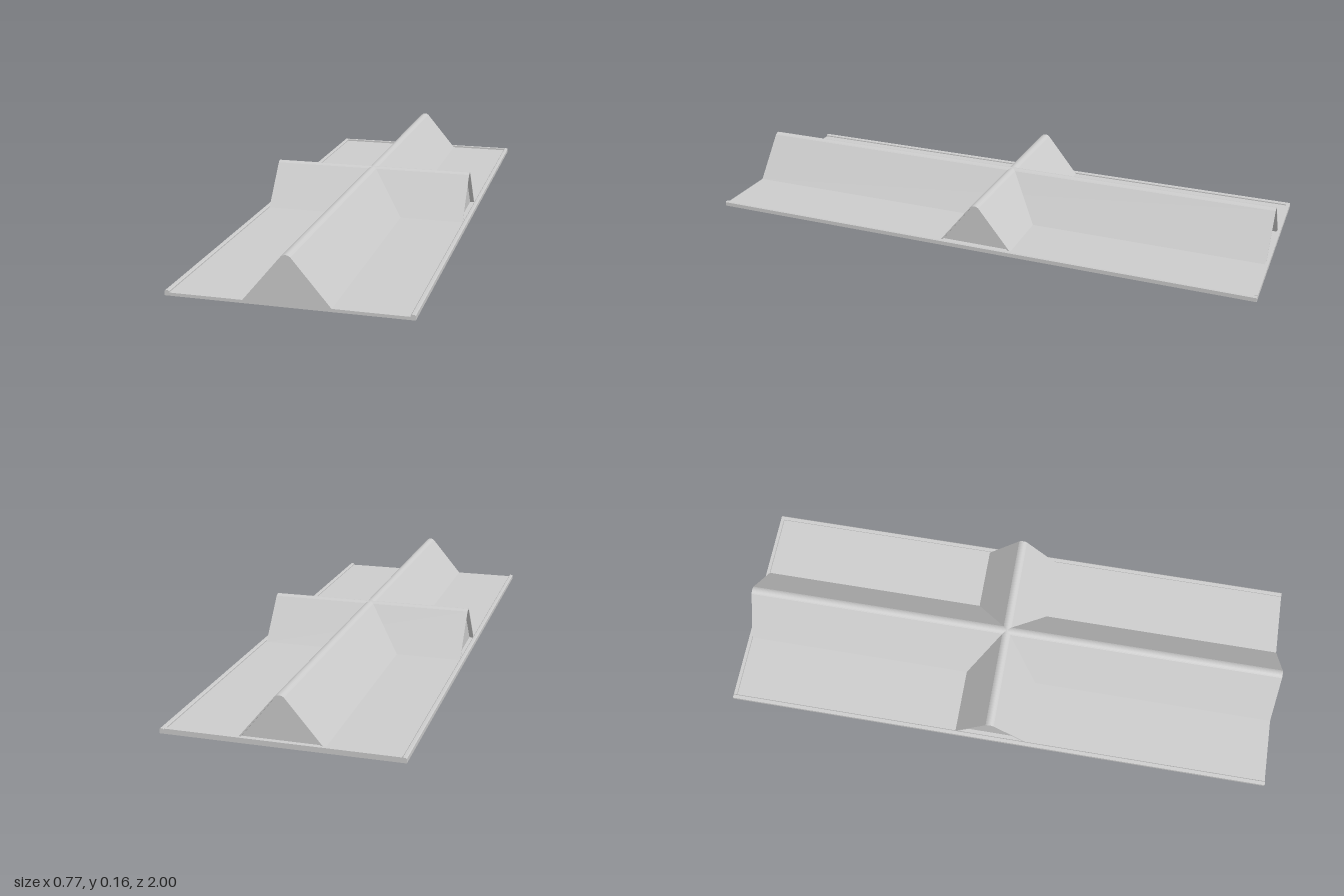
import * as THREE from 'three';

const material = new THREE.MeshStandardMaterial({ color: 0xcccccc, flatShading: true });
const FLOOR = 0.01, PEAK = 0.162;

function box(name, x0, x1, y0, y1, z0, z1) {
  const mesh = new THREE.Mesh(new THREE.BoxGeometry(x1 - x0, y1 - y0, z1 - z0), material);
  mesh.position.set((x0 + x1) / 2, (y0 + y1) / 2, (z0 + z1) / 2);
  mesh.name = name;
  return mesh;
}

// Triangular outline with a softly rounded crest, inset by t
function tent(path, halfWidth, t = 0) {
  const w = halfWidth - t * 1.3, top = PEAK - t;
  path.moveTo(-w, FLOOR);
  path.lineTo(w, FLOOR);
  path.lineTo(0.015, top - 0.006);
  path.quadraticCurveTo(0, top + 0.006, -0.015, top - 0.006);
  path.closePath();
  return path;
}

// Open-ended band that follows the tent outline
function band(halfWidth, t) {
  const outer = tent(new THREE.Path(), halfWidth).getPoints(8);
  const inner = tent(new THREE.Path(), halfWidth, t).getPoints(8);
  // points run from left foot to right foot, over the crest and back
  const over = (pts) => pts.slice(1, -1).concat([pts[0]]);
  return new THREE.Shape([...over(outer), ...over(inner).reverse()]);
}

// Ridge running along z: a thin folded skin with end walls set back inside it
function ridge(name, halfWidth, z0, z1, recess0, recess1) {
  const group = new THREE.Group();
  group.name = name;
  const add = (part, shape, a, b) => {
    const geometry = new THREE.ExtrudeGeometry(shape, { depth: b - a, bevelEnabled: false, curveSegments: 8 });
    const mesh = new THREE.Mesh(geometry, material);
    mesh.position.z = a;
    mesh.name = part;
    group.add(mesh);
  };
  add('ridgeSkin', band(halfWidth, 0.005), z0, z1);
  add('ridgeCore', tent(new THREE.Shape(), halfWidth, 0.005), z0 + recess0, z1 - recess1);
  return group;
}

// Edge strip with chamfered upper corners, running along z
function sideRim(name, x0, x1) {
  const c = 0.003, h = 0.017;
  const shape = new THREE.Shape([
    [x0, 0], [x1, 0], [x1, h - c], [x1 - c, h], [x0 + c, h], [x0, h - c],
  ].map(([x, y]) => new THREE.Vector2(x, y)));
  const mesh = new THREE.Mesh(new THREE.ExtrudeGeometry(shape, { depth: 2, bevelEnabled: false }), material);
  mesh.position.z = -1;
  mesh.name = name;
  return mesh;
}

export function createModel() {
  const model = new THREE.Group();
  model.name = 'ridgedPanel';

  // Flat panel, open at the front and edged on the other three sides
  model.add(box('basePlate', -0.37, 0.37, 0, FLOOR, -0.99, 1));
  model.add(box('backRim', -0.37, 0.37, 0, 0.017, -1, -0.988));
  model.add(sideRim('leftRim', 0.37, 0.385), sideRim('rightRim', -0.385, -0.37));

  // Long ridge, closed flush at the front and set back at the rear
  model.add(ridge('longRidge', 0.137, -0.99, 1, 0.02, 0));

  // Crossing ridge
  const cross = ridge('crossRidge', 0.132, -0.37, 0.367, 0.015, 0.015);
  cross.rotation.y = Math.PI / 2;
  cross.position.z = -0.02;
  model.add(cross);

  return model;
}
